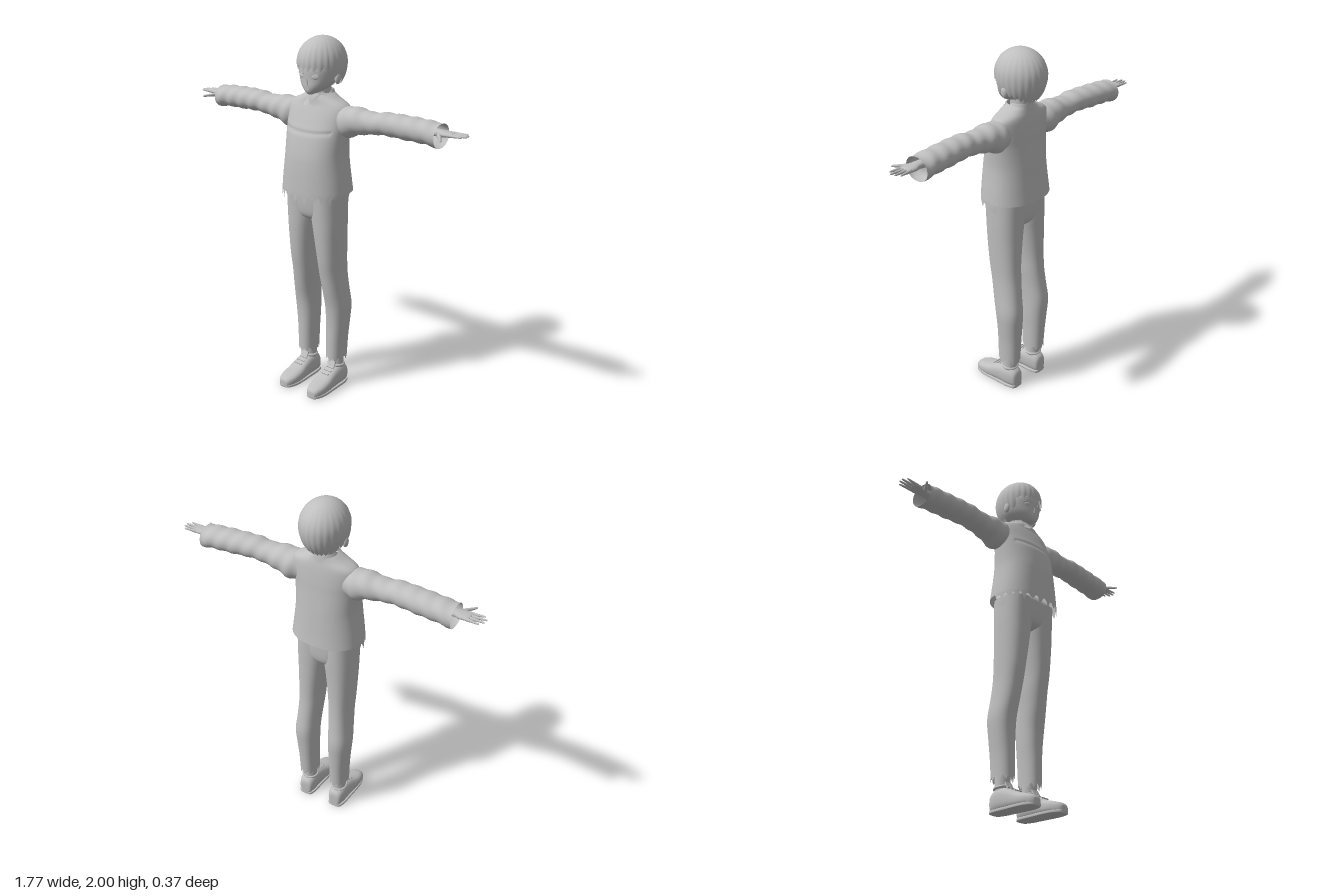
import * as THREE from 'three';

const clay = new THREE.MeshStandardMaterial({ color: 0xbfbfbf, side: THREE.DoubleSide });
clay.name = 'plain grey';

// How the (along, u, v) values of a cross-section map to space
const UP = (t, u, v) => [u, t, v];
const SIDE = (t, u, v) => [t, v, u];
const FORWARD = (t, u, v) => [v, u, t];

// Smoothly adds rows between the given cross-sections
function refine(rows, k) {
  const out = [];
  for (let i = 0; i < rows.length - 1; i++) {
    const a = rows[Math.max(i - 1, 0)], b = rows[i], c = rows[i + 1], d = rows[Math.min(i + 2, rows.length - 1)];
    for (let s = 0; s < k; s++) {
      const t = s / k;
      out.push(b.map((_, m) => {
        const cubic = 3 * (b[m] - c[m]) + d[m] - a[m];
        const square = 2 * a[m] - 5 * b[m] + 4 * c[m] - d[m];
        return b[m] + 0.5 * t * (c[m] - a[m] + t * (square + t * cubic));
      }));
    }
  }
  out.push(rows[rows.length - 1]);
  return out;
}

// Skin over rounded cross-sections [along, uMin, uMax, vMin, vMax]
function loft(rows, place, { n = 32, k = 3, power = 2.3, cap = true, rule } = {}) {
  const R = refine(rows, k), pos = [], idx = [];
  const bend = (c) => Math.sign(c) * Math.pow(Math.abs(c), 2 / power);
  R.forEach(([t, u0, u1, v0, v1], i) => {
    for (let j = 0; j < n; j++) {
      const a = (j / n) * Math.PI * 2;
      const p = place(t, (u0 + u1) / 2 + (u1 - u0) / 2 * bend(Math.cos(a)),
        (v0 + v1) / 2 + (v1 - v0) / 2 * bend(Math.sin(a)));
      if (rule) rule(p, i, j, a);
      pos.push(...p);
    }
  });
  for (let i = 0; i < R.length - 1; i++) for (let j = 0; j < n; j++) {
    const a = i * n + j, b = i * n + (j + 1) % n;
    idx.push(a, a + n, b, b, a + n, b + n);
  }
  if (cap) [0, R.length - 1].forEach((i) => {
    const [t, u0, u1, v0, v1] = R[i], c = pos.length / 3;
    pos.push(...place(t, (u0 + u1) / 2, (v0 + v1) / 2));
    for (let j = 0; j < n; j++) {
      const a = i * n + j, b = i * n + (j + 1) % n;
      idx.push(c, ...(i ? [b, a] : [a, b]));
    }
  });
  const g = new THREE.BufferGeometry();
  g.setAttribute('position', new THREE.Float32BufferAttribute(pos, 3));
  g.setIndex(idx);
  g.computeVertexNormals();
  return g;
}

function mirrored(geo) {
  const g = geo.clone().scale(-1, 1, 1), ix = g.index.array;
  for (let i = 0; i < ix.length; i += 3) [ix[i + 1], ix[i + 2]] = [ix[i + 2], ix[i + 1]];
  g.computeVertexNormals();
  return g;
}

// Tapered rounded finger from a to b
function finger(a, b, r) {
  const A = new THREE.Vector3(...a), d = new THREE.Vector3(...b).sub(A);
  const g = new THREE.CapsuleGeometry(r, d.length(), 4, 10, 4);
  const p = g.attributes.position, half = d.length() / 2;
  for (let i = 0; i < p.count; i++) {
    const s = 1 - 0.25 * (p.getY(i) / half + 1);
    p.setX(i, p.getX(i) * s);
    p.setZ(i, p.getZ(i) * s);
  }
  g.applyQuaternion(new THREE.Quaternion().setFromUnitVectors(new THREE.Vector3(0, 1, 0), d.clone().normalize()));
  g.translate(...A.addScaledVector(d, 0.5).toArray());
  return g;
}

// Bowl-cut hair with strand grooves and a jagged lower edge
function hairGeometry() {
  const g = new THREE.SphereGeometry(1, 96, 28), p = g.attributes.position, uv = g.attributes.uv;
  for (let i = 0; i < p.count; i++) {
    const az = uv.getX(i) * Math.PI * 2, down = 1 - uv.getY(i);
    const front = Math.sin(az), side = Math.cos(az);
    const saw = Math.abs(((uv.getX(i) * 24) % 1) - 0.5) * 2;
    let low = front > 0.55 ? 1.825 : front > 0 ? 1.765 : 1.765 + 0.045 * front;
    low += 0.022 * saw;
    const th = down * (Math.PI / 2 + Math.asin((1.865 - low) / 0.17));
    const c = Math.cos(th), r = Math.sin(th) * (1 - 0.03 * saw * down);
    p.setXYZ(i, -side * r * 0.127, 1.865 + c * (c > 0 ? 0.135 : 0.17), -0.042 + front * r * 0.144);
  }
  g.computeVertexNormals();
  return g;
}

export function createModel() {
  const model = new THREE.Group();
  model.name = 'figure';
  const add = (name, geo) => {
    const m = new THREE.Mesh(geo, clay);
    m.name = name;
    model.add(m);
  };
  const pair = (name, geo) => { add(name + 'Left', geo); add(name + 'Right', mirrored(geo)); };

  // Head
  add('face', loft([
    [1.708, -0.012, 0.012, 0.04, 0.068], [1.722, -0.04, 0.04, -0.03, 0.08],
    [1.75, -0.076, 0.076, -0.09, 0.085], [1.79, -0.1, 0.1, -0.125, 0.084],
    [1.85, -0.11, 0.11, -0.14, 0.085], [1.92, -0.09, 0.09, -0.12, 0.06]], UP, { power: 2.1 }));
  add('hair', hairGeometry());
  add('nose', new THREE.ConeGeometry(0.012, 0.04, 8).rotateX(0.25).translate(0, 1.775, 0.083));
  add('mouth', new THREE.BoxGeometry(0.03, 0.004, 0.006).translate(0, 1.738, 0.082));
  pair('ear', new THREE.SphereGeometry(1, 16, 12).scale(0.013, 0.03, 0.02).translate(0.112, 1.79, -0.03));
  pair('eye', new THREE.SphereGeometry(1, 16, 10).scale(0.02, 0.012, 0.004).rotateY(0.4).translate(0.046, 1.803, 0.074));
  pair('eyelid', new THREE.BoxGeometry(0.048, 0.004, 0.006).rotateY(0.4).translate(0.046, 1.816, 0.076));
  add('neck', loft([[1.62, -0.06, 0.06, -0.1, 0.025], [1.69, -0.05, 0.05, -0.09, 0.015],
    [1.78, -0.05, 0.05, -0.09, 0.02]], UP));

  // Jacket body, ragged along the front hem and creased at the chest
  add('jacket', loft([
    [1.187, -0.2, 0.2, -0.16, 0.152], [1.25, -0.193, 0.193, -0.153, 0.15], [1.33, -0.183, 0.183, -0.146, 0.146],
    [1.4, -0.178, 0.178, -0.14, 0.138], [1.5, -0.182, 0.182, -0.13, 0.115], [1.56, -0.188, 0.188, -0.125, 0.09],
    [1.62, -0.19, 0.19, -0.118, 0.064], [1.655, -0.172, 0.172, -0.112, 0.048],
    [1.685, -0.11, 0.11, -0.105, 0.04], [1.71, -0.066, 0.066, -0.1, 0.03]], UP, {
    n: 96, k: 8, cap: false, rule: (p, i, j, a) => {
      if (i === 0 && Math.sin(a) > -0.1) p[1] -= [0.008, 0.03, 0.055, 0.02][j % 4] * (j % 3 ? 1 : 0.6);
      const crease = (p[1] - 1.512 - 0.4 * p[0] * p[0]) / 0.009;
      if (p[2] > 0 && Math.abs(p[0]) < 0.15) p[2] -= 0.006 * Math.exp(-crease * crease);
    } }));

  // Collar flaps laid on the chest, and the band behind the neck
  const flapOutline = [[0.003, 1.665], [0.028, 1.645], [0.075, 1.668], [0.068, 1.712], [0.045, 1.72]];
  const flap = new THREE.ShapeGeometry(new THREE.Shape(flapOutline.map(([x, y]) => new THREE.Vector2(x, y))));
  const fp = flap.attributes.position;
  for (let i = 0; i < fp.count; i++) {
    const x = fp.getX(i), y = fp.getY(i);
    fp.setZ(i, 0.056 + (1.68 - y) * 0.6 - x * x * 7);
  }
  flap.computeVertexNormals();
  pair('collarFlap', flap);
  add('collarBand', loft([[1.675, -0.085, 0.085, -0.108, 0.04], [1.722, -0.062, 0.062, -0.1, 0.02]], UP, {
    cap: false, rule: (p, i, j, a) => { if (i && Math.sin(a) > 0) p[1] -= 0.05 * Math.sin(a) * i / 3; } }));

  // Sleeves with soft wrinkles and open cuffs
  pair('sleeve', loft([
    [0.13, -0.1, 0.03, 1.51, 1.64], [0.19, -0.116, 0.05, 1.49, 1.655], [0.26, -0.11, 0.045, 1.515, 1.655],
    [0.34, -0.1, 0.036, 1.53, 1.645], [0.42, -0.105, 0.036, 1.54, 1.655], [0.55, -0.116, 0.03, 1.535, 1.655],
    [0.66, -0.122, 0.025, 1.532, 1.65], [0.735, -0.125, 0.026, 1.522, 1.643]], SIDE, {
    k: 8, cap: false, power: 2.1, rule: (p, i, j, a) => {
      const w = 0.0025 * Math.sin(p[0] * 75 + 2 * Math.sin(a));
      p[1] += w * Math.sin(a);
      p[2] += w * Math.cos(a);
    } }));

  // Hands
  pair('palm', loft([[0.6, -0.08, -0.02, 1.57, 1.62], [0.72, -0.073, -0.02, 1.582, 1.618],
    [0.76, -0.082, -0.01, 1.584, 1.615], [0.8, -0.082, -0.012, 1.59, 1.612],
    [0.81, -0.075, -0.02, 1.596, 1.608]], SIDE, { n: 20 }));
  [[-0.074, 0.855, -0.083], [-0.056, 0.873, -0.06], [-0.038, 0.877, -0.037], [-0.02, 0.86, -0.014]]
    .forEach(([z, x, tipZ], i) => pair('finger' + (i + 1), finger([0.795, 1.601, z], [x, 1.603, tipZ], 0.0095)));
  pair('thumb', finger([0.74, 1.594, -0.02], [0.79, 1.588, 0.05], 0.012));

  // Trousers: hips and two legs with frayed ends
  add('hips', loft([[1.015, -0.05, 0.05, -0.07, 0.05], [1.04, -0.13, 0.13, -0.1, 0.088],
    [1.09, -0.168, 0.168, -0.113, 0.103], [1.2, -0.173, 0.173, -0.115, 0.112]], UP, { n: 48 }));
  pair('trouserLeg', loft([
    [0.178, 0.052, 0.152, -0.118, 0.015], [0.3, 0.05, 0.157, -0.125, 0.015], [0.4, 0.046, 0.166, -0.132, 0.016],
    [0.5, 0.044, 0.173, -0.138, 0.025], [0.6, 0.04, 0.166, -0.126, 0.045], [0.7, 0.032, 0.161, -0.115, 0.063],
    [0.8, 0.026, 0.163, -0.11, 0.08], [0.95, 0.008, 0.168, -0.11, 0.095],
    [1.05, -0.005, 0.171, -0.112, 0.101], [1.18, -0.005, 0.172, -0.113, 0.108]], UP, {
    n: 40, k: 4, cap: false, rule: (p, i, j) => {
      if (i === 0) p[1] += [0.008, -0.006, -0.018, 0.002][j % 4];
    } }));

  // Shoes, soles, laces and socks
  const shoe = [[-0.118, 0.012, 0.075, 0.08, 0.12], [-0.11, 0.003, 0.105, 0.062, 0.138],
    [-0.07, 0, 0.128, 0.052, 0.15], [-0.02, 0, 0.125, 0.05, 0.152], [0.03, 0, 0.108, 0.047, 0.154],
    [0.08, 0, 0.084, 0.045, 0.156], [0.13, 0, 0.07, 0.048, 0.154], [0.17, 0, 0.056, 0.064, 0.14],
    [0.185, 0.006, 0.04, 0.08, 0.124]];
  pair('shoe', loft(shoe, FORWARD, { power: 2.6 }));
  pair('sole', loft(shoe.map(([z, , , x0, x1]) => [z, 0, 0.018, x0 - 0.001, x1 + 0.001]), FORWARD, { power: 6 }));
  pair('sock', new THREE.CylinderGeometry(0.04, 0.042, 0.14, 24).translate(0.1, 0.17, -0.055));
  pair('shoeCollar', new THREE.TorusGeometry(0.043, 0.008, 8, 28).rotateX(Math.PI / 2 - 0.1).translate(0.1, 0.127, -0.052));
  for (let i = 0; i < 3; i++) {
    pair('lace' + (i + 1), new THREE.BoxGeometry(0.05, 0.006, 0.009).rotateX(0.4)
      .translate(0.1, 0.121 - i * 0.0105, 0.004 + i * 0.024));
  }
  pair('tongue', new THREE.BoxGeometry(0.045, 0.04, 0.008).rotateX(-0.5).translate(0.1, 0.135, -0.008));
  return model;
}
